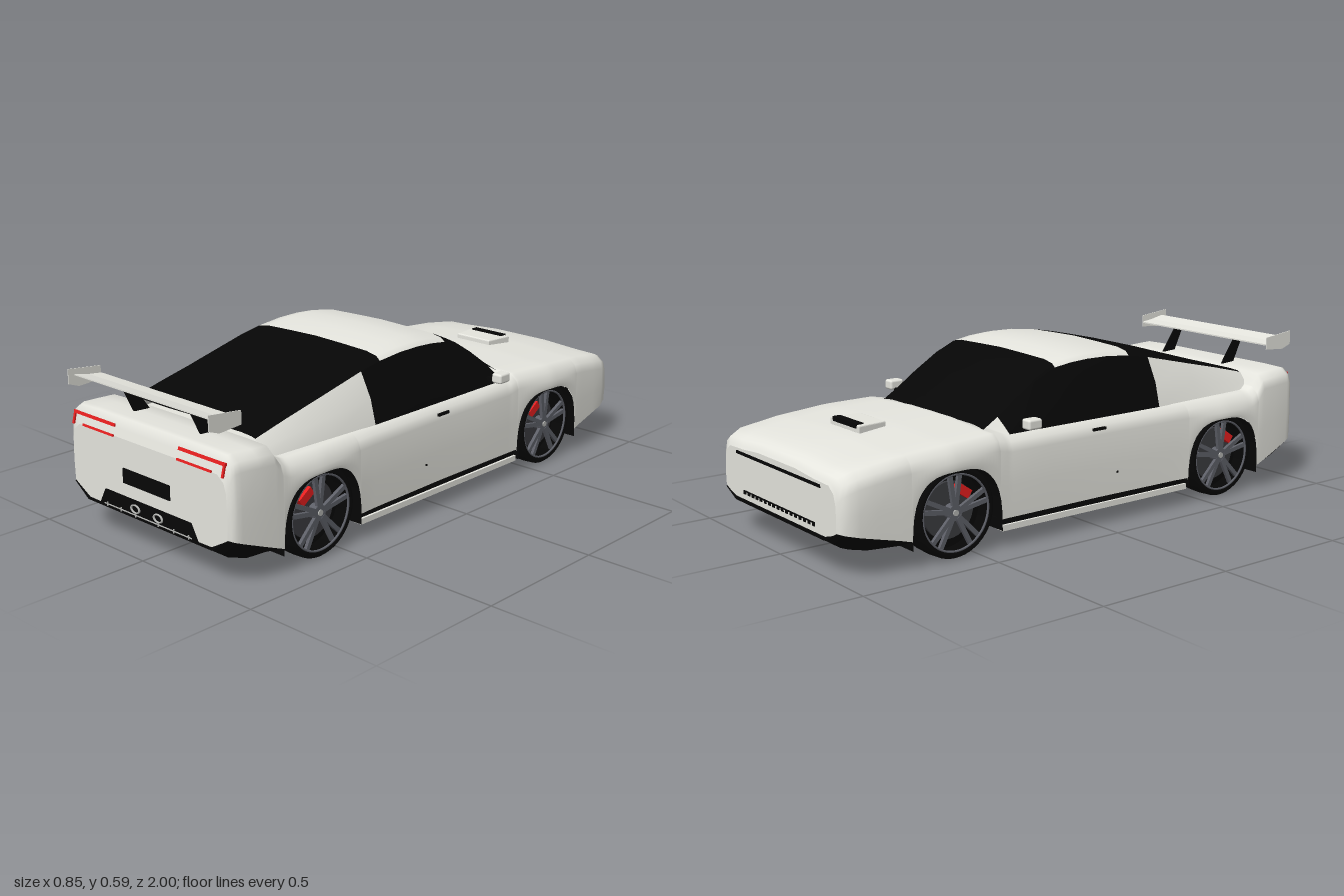
import * as THREE from 'three';
import { RoundedBoxGeometry } from 'three/addons/geometries/RoundedBoxGeometry.js';

const mat = (name, color) => new THREE.MeshStandardMaterial({ name, color, side: THREE.DoubleSide });

// piecewise linear lookup in [[key, value], ...]
function lerpTable(t, z) {
  if (z <= t[0][0]) return t[0][1];
  for (let i = 1; i < t.length; i++) {
    if (z <= t[i][0]) {
      const [a, va] = t[i - 1], [b, vb] = t[i];
      return va + (vb - va) * (z - a) / (b - a);
    }
  }
  return t[t.length - 1][1];
}

export function createModel() {
  const car = new THREE.Group();
  car.name = 'sportsCar';
  const white = mat('white paint', 0xe6e6df), black = mat('black trim', 0x060606), red = mat('red', 0xf82222);
  const grey = mat('rim grey', 0x5e6068), dark = mat('brake disc grey', 0x3b3c40), silver = mat('silver', 0xb4b5b2);

  const add = (name, geo, m, x = 0, y = 0, z = 0, parent = car) => {
    const mesh = new THREE.Mesh(geo, m);
    mesh.name = name;
    mesh.position.set(x, y, z);
    parent.add(mesh);
    return mesh;
  };
  const box = (name, m, w, h, d, x, y, z, parent) => add(name, new THREE.BoxGeometry(w, h, d), m, x, y, z, parent);
  const shape = (pts) => new THREE.Shape(pts.map(([x, y]) => new THREE.Vector2(x, y)));

  // skin through cross-sections, using section points from..to
  const loft = (name, m, zs, section, from, to) => {
    const pos = [], idx = [], n = to - from + 1;
    zs.forEach((z, i) => section(z).slice(from, to + 1).forEach(([x, y], j) => {
      pos.push(x, y, z);
      if (i && j) {
        const d = i * n + j, c = d - 1, b = d - n, a = b - 1;
        idx.push(a, b, c, b, d, c);
      }
    }));
    const g = new THREE.BufferGeometry();
    g.setAttribute('position', new THREE.Float32BufferAttribute(pos, 3));
    g.setIndex(idx);
    g.computeVertexNormals();
    return add(name, g, m);
  };
  const mirrored = (half) => [...half, ...half.slice(0, -1).reverse().map(([x, y]) => [-x, y])];

  // lower body: half width, top line, bottom line, trim split line, wheel arches
  const AXLES = [-0.585, 0.595], ARCH = 0.173;
  const width = [[-1, .358], [-.985, .382], [-.94, .398], [-.8, .405], [-.6, .413], [-.4, .396], [0, .392],
    [.35, .398], [.6, .413], [.8, .408], [.92, .402], [.955, .392], [.97, .375]];
  const top = [[-1, .3], [-.985, .325], [-.94, .343], [-.8, .363], [-.6, .377], [-.42, .382], [-.36, .37],
    [.74, .37], [.77, .385], [.8, .428], [.93, .436], [.955, .43], [.97, .374]];
  const bottom = [[-1, .118], [-.96, .092], [-.88, .073], [-.75, .065], [.75, .065], [.87, .068], [.93, .09], [.97, .12]];
  const split = [[-1, .155], [-.77, .098], [-.75, .09], [.75, .085], [.77, .09], [.97, .17]];
  const archY = (t) => 0.065 + 0.227 * Math.cbrt(Math.max(0, 1 - Math.abs(t) ** 3));
  const bottomY = (z) => {
    for (const c of AXLES) if (Math.abs(z - c) <= ARCH + 1e-4) return archY((z - c) / ARCH);
    return Math.abs(z) < 0.5 ? 0.098 : lerpTable(bottom, z);
  };
  const bodySection = (z) => {
    const w = lerpTable(width, z), yt = lerpTable(top, z), yb = bottomY(z);
    const ys = Math.max(yb, lerpTable(split, z)), crown = z < -0.4 ? 0.009 : 0;
    return mirrored([[w - (yb < ys ? .07 : .002), yb], [w - .002, ys], [w, ys + (yt - .06 - ys) * .5],
      [w - .003, yt - .055], [w - .013, yt - .024], [w - .04, yt - .003], [w - .13, yt], [.12, yt + crown], [0, yt + crown]]);
  };
  const archZ = (c) => Array.from({ length: 25 }, (_, i) => c - ARCH * Math.cos(Math.PI * i / 24));
  const bodyZ = [-1, -.995, -.985, -.965, -.94, -.88, -.8, -.761, ...archZ(AXLES[0]), -.409, -.38, -.36, -.2, 0, .2, .35, .419,
    ...archZ(AXLES[1]), .771, .785, .8, .86, .93, .945, .955, .963, .97];
  const N = bodySection(0).length - 1;
  const noseZ = bodyZ.filter((z) => z < -.76), tailZ = bodyZ.filter((z) => z > .77);
  loft('bodyShell', white, bodyZ, bodySection, 1, N - 1);
  for (const [a, b] of [[0, 1], [N - 1, N]]) {
    loft('frontLowerTrim', black, noseZ, bodySection, a, b);
    loft('rearLowerTrim', black, tailZ, bodySection, a, b);
  }
  const underSection = (z) => [bodySection(z)[N], bodySection(z)[0]];
  loft('frontUndertray', black, noseZ, underSection, 0, 1);
  loft('rearUndertray', black, tailZ.filter((z) => z > .84), underSection, 0, 1);
  add('tailPanel', new THREE.ShapeGeometry(shape(bodySection(.97))), white, 0, 0, .97);
  add('nosePanel', new THREE.ShapeGeometry(shape(bodySection(-1))).rotateY(Math.PI), white, 0, 0, -1);

  // floor, sills
  box('floor', black, .75, .02, .83, 0, .092, 0);
  for (const s of [-1, 1]) {
    box('sill', white, .03, .02, .82, s * .382, .068, .005);
    box('sillGap', black, .02, .025, .82, s * .378, .09, .005);
    box('doorHandle', black, .008, .009, .055, s * .394, .338, .005);
    box('doorLock', black, .006, .007, .007, s * .392, .175, .09);
  }
  // wheel arch liners
  for (const c of AXLES) for (const s of [-1, 1]) {
    const lin = (z) => [[s * .405, bottomY(z) - .002], [s * .27, bottomY(z) - .002]];
    loft('archLiner', black, archZ(c), lin, 0, 1);
    const wall = shape(archZ(c).map((z) => [-z, bottomY(z)]));
    add('archInnerWall', new THREE.ShapeGeometry(wall).rotateY(Math.PI / 2), black, s * .27, 0, 0);
  }

  // cabin: centre line, edge line
  const ridge = [[-.41, .39], [-.35, .428], [-.27, .487], [-.19, .538], [-.11, .574], [-.04, .588], [.03, .594],
    [.12, .592], [.22, .58], [.31, .563], [.5, .513], [.65, .47], [.78, .433]];
  const edge = [[-.41, .376], [-.35, .412], [-.27, .466], [-.19, .514], [-.11, .547], [-.04, .556], [.03, .56],
    [.12, .559], [.22, .55], [.31, .534], [.5, .49], [.65, .456], [.78, .424]];
  const cabinSection = (z) => {
    const yr = lerpTable(ridge, z), ye = lerpTable(edge, z), k = (ye - .37) / .19;
    const wb = z > .31 ? .362 - (z - .31) * .05 : .362, we = .297;
    return mirrored([[wb, .366], [(wb + we) / 2 + .012 * k, (ye + .366) / 2], [we, ye], [we - .016, ye + (yr - ye) * .45],
      [we - .06, ye + (yr - ye) * .75], [.12, yr - .003], [0, yr]]);
  };
  const cabinZ = ridge.map((p) => p[0]);
  const range = (a, b) => cabinZ.filter((z) => z >= a && z <= b);
  const C = cabinSection(0).length - 1;
  loft('windscreen', black, range(-.41, -.11), cabinSection, 2, C - 2);
  loft('roof', white, range(-.11, .22), cabinSection, 2, C - 2);
  loft('rearGlass', black, range(.22, .78), cabinSection, 2, C - 2);
  for (const [a, b] of [[0, 2], [C - 2, C]]) {
    loft('sideWindow', black, range(-.35, .31), cabinSection, a, b);
    loft('rearPillar', white, range(.31, .78), cabinSection, a, b);
  }

  // bonnet scoop
  const scoop = new THREE.ExtrudeGeometry(shape([[-.085, .742], [.085, .742], [.073, .645], [-.073, .645]]),
    { depth: .02, bevelEnabled: true, bevelSize: .005, bevelThickness: .005, bevelSegments: 3 });
  add('bonnetScoop', scoop.rotateX(-Math.PI / 2), white, 0, .376, 0);
  box('scoopOpening', black, .145, .016, .028, 0, .397, -.735);

  // nose slot and lower grille
  box('noseSlot', black, .54, .01, .006, 0, .285, -1);
  box('grilleLine', black, .46, .004, .006, 0, .16, -1);
  for (let i = -8; i <= 8; i++) box('grilleSlot', black, .014, .012, .006, i * .028, .155, -1);
  const chin = shape([[-.355, .15], [-.29, .13], [.29, .13], [.355, .15], [.288, .118], [-.288, .118]]);
  add('chinTrim', new THREE.ExtrudeGeometry(chin, { depth: .004, bevelEnabled: false }), black, 0, 0, -1.003);

  // tail: diffuser, plate, exhausts
  const diffuser = shape(mirrored([[.305, .119], [.372, .168], [.3, .128], [.24, .127], [.21, .181], [0, .181]]));
  add('diffuser', new THREE.ExtrudeGeometry(diffuser, { depth: .004, bevelEnabled: false }), black, 0, 0, .97);
  box('diffuserStrip', silver, .43, .003, .004, 0, .132, .975);
  box('numberPlate', black, .228, .05, .004, 0, .252, .9725);
  // lamps on the sloping lip above the tail panel
  const lamps = new THREE.Group();
  lamps.name = 'tailLamps';
  lamps.position.set(0, .372, .971);
  lamps.rotation.x = -.26;
  car.add(lamps);
  for (const s of [-1, 1]) {
    box('lampTopBar', red, .211, .01, .009, s * .2605, .036, 0, lamps);
    box('lampEnd', red, .008, .046, .006, s * .362, .018, .001, lamps);
    box('lampLowerBar', red, .157, .007, .005, s * .2335, .002, .002, lamps);
    add('exhaust', new THREE.TorusGeometry(.02, .004, 8, 24), silver, s * .056, .153, .976).scale.y = .65;
    for (const x of [.056, .13, .2]) box('diffuserFin', silver, .004, .014, .004, s * x, .132, .975);
  }

  // rear wing, door mirrors
  const sideExtrude = (name, pts, m, x, thick) => {
    const g = new THREE.ExtrudeGeometry(shape(pts.map(([z, y]) => [-z, y])), { depth: thick, bevelEnabled: false });
    add(name, g.translate(0, 0, -thick / 2).rotateY(Math.PI / 2), m, x, 0, 0);
  };
  sideExtrude('wingBlade', [[.87, .518], [.92, .523], [.976, .537], [.976, .541], [.92, .529], [.87, .523]], white, 0, .674);
  for (const s of [-1, 1]) {
    sideExtrude('wingEndplate', [[.872, .503], [.872, .548], [1, .562], [1, .512], [.96, .497]], white, s * .338, .003);
    sideExtrude('wingStrut', [[.82, .43], [.88, .43], [.925, .524], [.885, .524]], black, s * .161, .006);
    add('mirror', new RoundedBoxGeometry(.042, .035, .055, 3, .008), white, s * .405, .401, -.292);
    box('mirrorStalk', black, .045, .012, .02, s * .365, .385, -.295);
  }

  // wheels, built with the axle along x and the outer face at +x
  const tyre = new THREE.LatheGeometry([[.128, -.052], [.142, -.05], [.15, -.042], [.152, 0], [.15, .042], [.142, .052],
    [.13, .052], [.127, .046], [.128, -.052]].map(([r, h]) => new THREE.Vector2(r, h)), 48).rotateZ(-Math.PI / 2);
  const rimRing = new THREE.TorusGeometry(.126, .004, 8, 48).rotateY(Math.PI / 2);
  const cyl = (r, h) => new THREE.CylinderGeometry(r, r, h, 32).rotateZ(Math.PI / 2);
  for (const c of AXLES) for (const s of [-1, 1]) {
    const wheel = new THREE.Group();
    wheel.name = 'wheel';
    wheel.position.set(s * .343, .152, c);
    if (s < 0) wheel.rotation.y = Math.PI;
    car.add(wheel);
    add('tyre', tyre, black, 0, 0, 0, wheel);
    add('rimRing', rimRing, grey, .047, 0, 0, wheel);
    add('rimBack', cyl(.128, .006), black, -.01, 0, 0, wheel);
    add('brakeDisc', cyl(.095, .012), dark, .002, 0, 0, wheel);
    add('hub', cyl(.026, .03), grey, .03, 0, 0, wheel);
    add('hubCap', cyl(.01, .004), silver, .047, 0, 0, wheel);
    for (let i = 0; i < 5; i++) for (const o of [-.15, .15]) {
      const a = i * Math.PI * .4 + o;
      box('spoke', grey, .012, .106, .015, .04, Math.cos(a) * .073, Math.sin(a) * .073, wheel).rotation.x = a;
    }
    box('brakeCaliper', red, .022, .03, .06, s * .363, .214, c + .043).rotation.x = .6;
  }
  return car;
}
